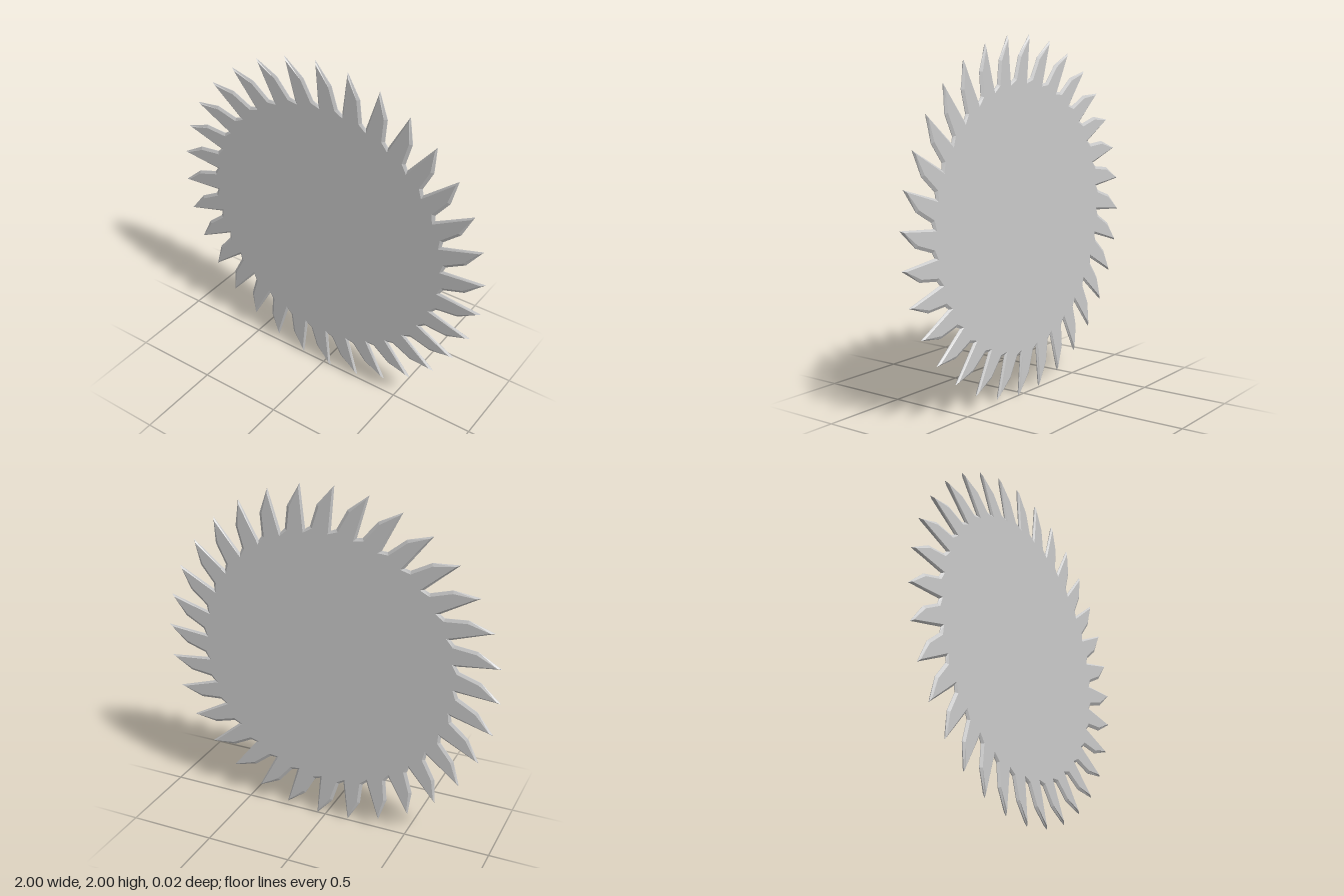
import * as THREE from 'three';

const TEETH = 32;
const TIP_ANGLE = 92.9; // degrees, first tip just left of the top

// One tooth, walked counter-clockwise: [degrees from its tip, radius]
const TOOTH = [
  [-9.4, 0.772],  // end of the gullet floor
  [-6, 0.89],     // shoulder
  [0, 1.0013],    // tip
  [-0.5, 0.757],  // foot of the cutting edge, start of next gullet
];

export function createModel() {
  const group = new THREE.Group();
  group.name = 'sawBlade';

  // Outline of the whole toothed disc
  const points = [];
  for (let i = 0; i < TEETH; i++) {
    for (const [offset, radius] of TOOTH) {
      const a = THREE.MathUtils.degToRad(TIP_ANGLE + offset + (i * 360) / TEETH);
      points.push(new THREE.Vector2(Math.cos(a) * radius, Math.sin(a) * radius));
    }
  }

  // Thin plate, ground to a narrow edge on both faces
  const bevel = 0.016;
  const depth = 0.003;
  const geometry = new THREE.ExtrudeGeometry(new THREE.Shape(points), {
    depth,
    bevelEnabled: true,
    bevelThickness: 0.0085,
    bevelSize: bevel,
    bevelOffset: -bevel,
    bevelSegments: 1,
  });
  geometry.translate(0, 1, -depth / 2);

  const blade = new THREE.Mesh(
    geometry,
    new THREE.MeshStandardMaterial({ color: 0xcccccc, flatShading: true })
  );
  blade.name = 'toothedDisc';
  group.add(blade);
  return group;
}
